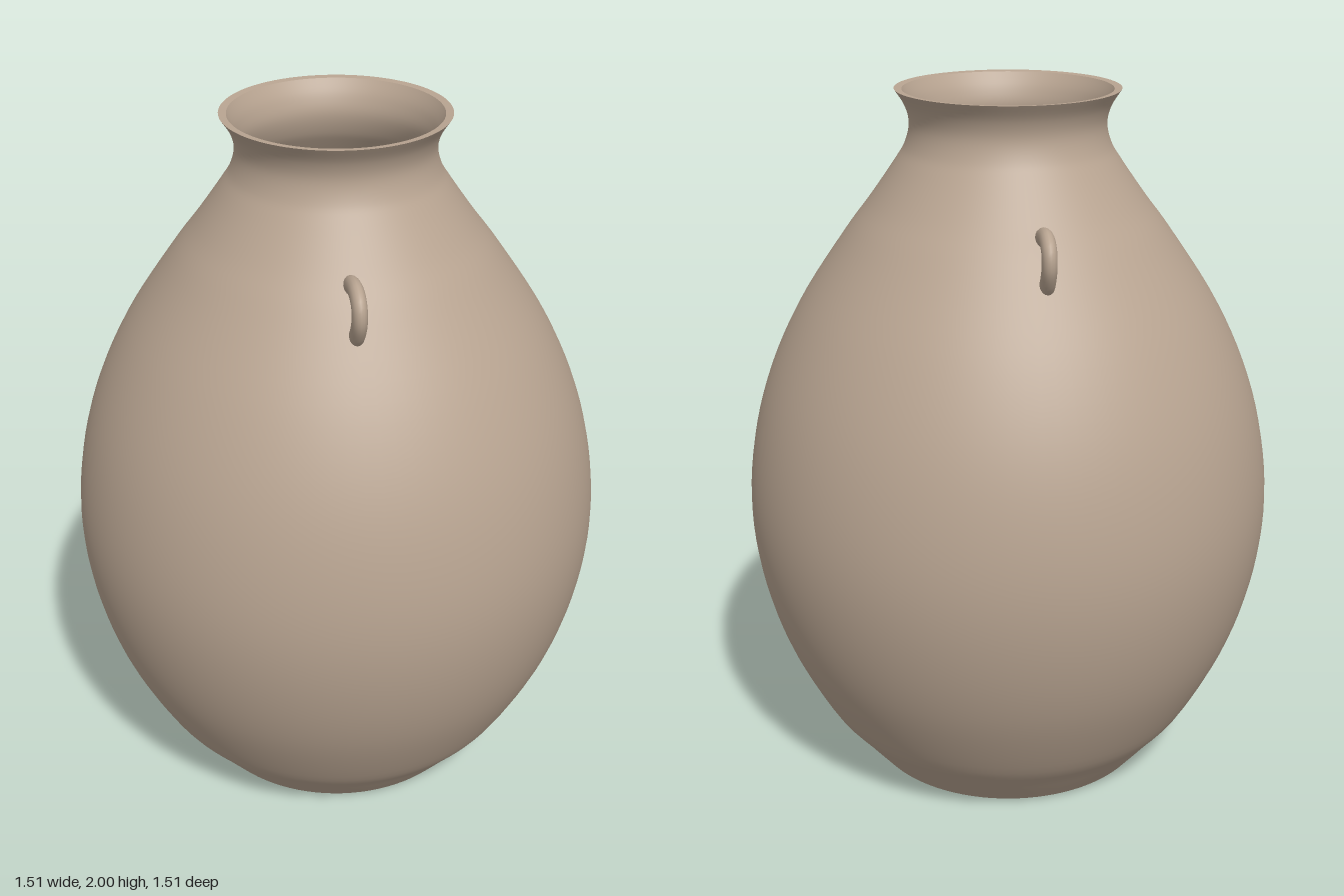
import * as THREE from 'three';

const SEGMENTS = 96;

export function createModel() {
  const group = new THREE.Group();
  group.name = 'vase';
  const clay = new THREE.MeshStandardMaterial({ color: 0xb8a491 });
  clay.name = 'tan clay';

  const add = (name, geometry) => {
    const mesh = new THREE.Mesh(geometry, clay);
    mesh.name = name;
    group.add(mesh);
    return mesh;
  };
  const vec = ([x, y]) => new THREE.Vector2(x, y);
  const lathe = (name, points) => add(name, new THREE.LatheGeometry(points, SEGMENTS));
  const smooth = (points, n) => new THREE.SplineCurve(points.map(vec)).getPoints(n);

  // Outer wall, from foot to flared lip
  const outer = [
    [0.42, 0.008], [0.495, 0.1], [0.572, 0.2], [0.672, 0.4], [0.732, 0.6],
    [0.755, 0.8], [0.738, 1.0], [0.685, 1.2], [0.592, 1.4], [0.46, 1.6],
    [0.385, 1.7], [0.315, 1.8], [0.285, 1.85], [0.272, 1.905], [0.283, 1.955], [0.311, 2.0],
  ];
  lathe('outerWall', smooth(outer, 72));

  // Base, very slightly raised at its edge
  lathe('base', [[0, 0], [0.36, 0]].map(vec));
  lathe('baseEdge', [[0.36, 0], [0.42, 0.008]].map(vec));

  // Rim between the outer and inner walls
  lathe('rim', [[0.311, 2.0], [0.29, 1.998]].map(vec));

  // Hollow inside: wall and floor
  const inner = [
    [0.29, 1.998], [0.266, 1.955], [0.255, 1.905], [0.268, 1.85], [0.297, 1.8],
    [0.367, 1.7], [0.442, 1.6], [0.574, 1.4], [0.666, 1.2], [0.718, 1.0],
    [0.735, 0.8], [0.712, 0.6], [0.652, 0.4], [0.552, 0.2], [0.43, 0.03],
  ];
  lathe('innerWall', smooth(inner, 72));
  lathe('innerFloor', [[0.43, 0.03], [0, 0.03]].map(vec));

  // Two small loop handles on the shoulder, slightly flattened sideways
  const path = new THREE.CatmullRomCurve3([
    [0.37, 1.665], [0.42, 1.684], [0.47, 1.686], [0.505, 1.665],
    [0.511, 1.63], [0.492, 1.59], [0.455, 1.55],
  ].map(([z, y]) => new THREE.Vector3(0, y, z)));
  for (const side of [1, -1]) {
    const geometry = new THREE.TubeGeometry(path, 32, 0.026, 16);
    geometry.scale(0.78, 1, 1);
    if (side < 0) geometry.rotateY(Math.PI);
    const handle = add(side > 0 ? 'frontHandle' : 'backHandle', geometry);
    handle.position.x = -0.035;
  }
  return group;
}
